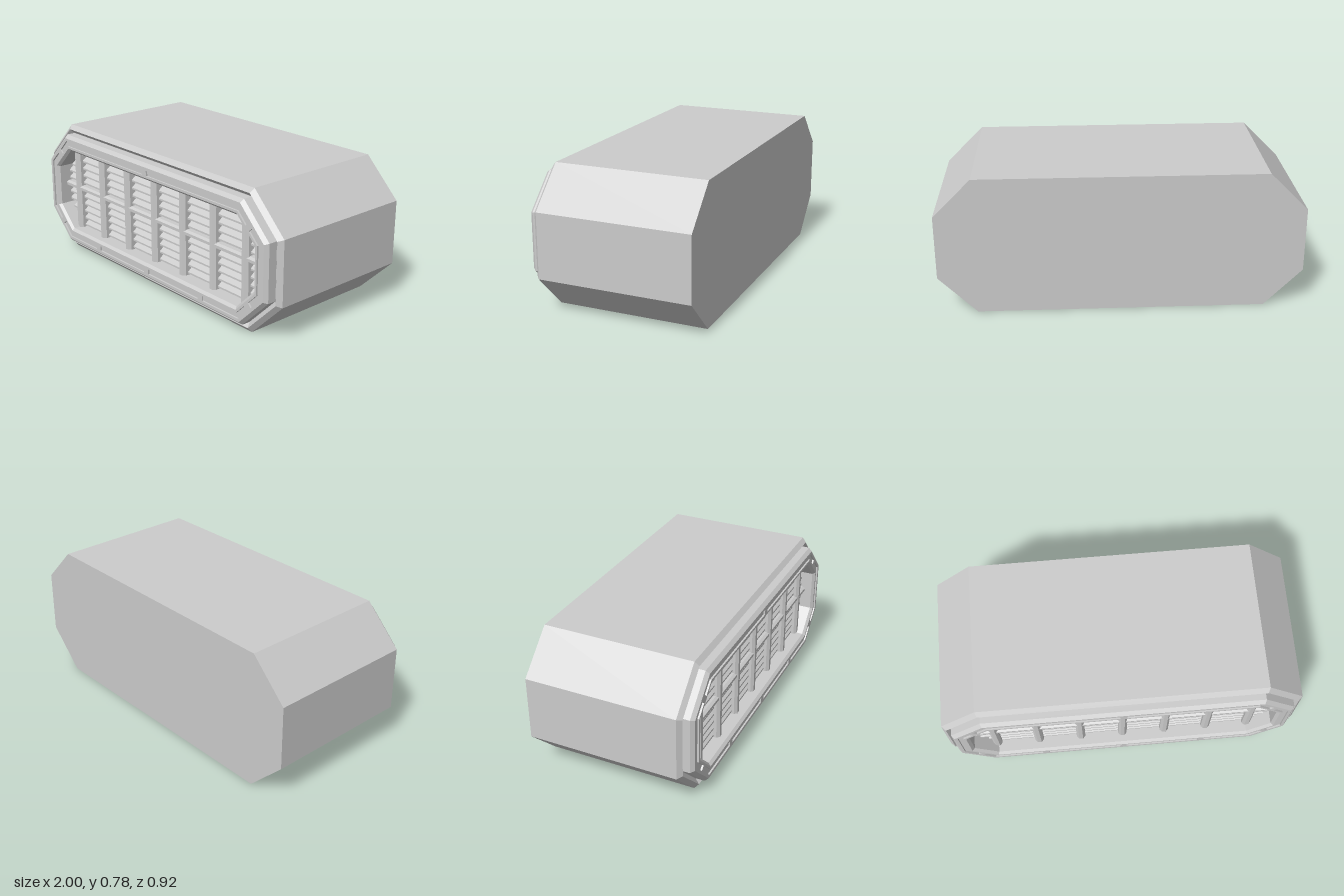
import * as THREE from 'three';

const CY = 0.39; // centre height
const mat = new THREE.MeshStandardMaterial({ color: 0xcccccc, flatShading: true });

// half width, half height and corner cut of the octagon inset by d
const dims = d => ({ w: 1 - d, h: 0.39 - d, c: 0.21 - 0.586 * d });

function octagon(d, z) {
  const { w, h, c } = dims(d);
  return [[w, c - h], [w, h - c], [w - c, h], [c - w, h], [-w, h - c], [-w, c - h], [c - w, -h], [w - c, -h]]
    .map(([x, y]) => [x, y + CY, z]);
}

// skin through octagon rings given as [inset, z], closed at both ends
function loft(rings) {
  const loops = rings.map(([d, z]) => octagon(d, z));
  const pos = [];
  const tri = (...pts) => pts.forEach(p => pos.push(...p));
  for (let i = 0; i < loops.length - 1; i++) {
    for (let j = 0; j < 8; j++) {
      const k = (j + 1) % 8, A = loops[i], B = loops[i + 1];
      tri(A[j], A[k], B[k]);
      tri(A[j], B[k], B[j]);
    }
  }
  const first = loops[0], last = loops[loops.length - 1];
  for (let j = 1; j < 7; j++) {
    tri(first[0], first[j + 1], first[j]);
    tri(last[0], last[j], last[j + 1]);
  }
  const g = new THREE.BufferGeometry();
  g.setAttribute('position', new THREE.Float32BufferAttribute(pos, 3));
  g.computeVertexNormals();
  return g;
}

// prism along x, with a cross-section of [z, y] points
function prism(points, length) {
  const shape = new THREE.Shape(points.map(([z, y]) => new THREE.Vector2(-z, y)));
  const g = new THREE.ExtrudeGeometry(shape, { depth: length, bevelEnabled: false });
  g.translate(0, 0, -length / 2);
  g.rotateY(Math.PI / 2);
  return g;
}

function add(parent, name, geometry, x = 0, y = 0, z = 0) {
  const m = new THREE.Mesh(geometry, mat);
  m.name = name;
  m.position.set(x, y, z);
  parent.add(m);
  return m;
}

export function createModel() {
  const model = new THREE.Group();
  model.name = 'ventUnit';

  // housing, outer lip, raised frame with a shallow channel, and recess
  add(model, 'housing', loft([
    [0, -0.46], [0, 0.39], [0.025, 0.413], [0.048, 0.39], [0.05, 0.39],
    [0.05, 0.44], [0.068, 0.46], [0.085, 0.46], [0.085, 0.45], [0.115, 0.45],
    [0.115, 0.46], [0.128, 0.46], [0.142, 0.445], [0.142, 0.32],
  ]));

  // bridges that divide the frame channel
  const bridges = new THREE.Group();
  bridges.name = 'channelBridges';
  model.add(bridges);
  const { w, h, c } = dims(0.1);
  const bridgeGeo = new THREE.BoxGeometry(0.036, 0.03, 0.012);
  const spots = [[0, h, 0], [0, -h, 0], [0.46, -h, 0], [-0.46, -h, 0]];
  for (const sx of [-1, 1]) for (const sy of [-1, 1]) {
    spots.push([sx * (w - c / 2), sy * (h - c / 2), -sx * sy * Math.PI / 4]);
  }
  for (const [x, y, turn] of spots) {
    add(bridges, 'bridge', bridgeGeo, x, CY + y, 0.454).rotation.z = turn;
  }

  // sloping louvre slats, trimmed to the octagonal opening
  const louvres = new THREE.Group();
  louvres.name = 'louvres';
  model.add(louvres);
  const open = dims(0.142), count = 11, pitch = 2 * open.h / count;
  for (let i = 0; i < count; i++) {
    const y = -open.h + pitch * (i + 0.5);
    const cut = Math.max(0, Math.abs(y) + pitch * 0.4 - (open.h - open.c));
    const slat = [[0.318, 0.018], [0.35, 0.018], [0.378, -0.004], [0.378, -0.014], [0.366, -0.014], [0.318, 0.004]];
    add(louvres, 'slat', prism(slat, 2 * (open.w - cut)), 0, CY + y, 0);
  }

  // grille bars with bevelled front edges
  const grille = new THREE.Group();
  grille.name = 'grille';
  model.add(grille);
  const bar = (half, flat, front) => [
    [0.33, -half], [0.33, half], [front - 0.015, half], [front, flat], [front, -flat], [front - 0.015, -half],
  ];
  add(grille, 'crossBar', prism(bar(0.017, 0.008, 0.402), 2 * open.w), 0, CY + 0.003, 0);
  const uprightGeo = prism(bar(0.025, 0.011, 0.408), 2 * open.h);
  uprightGeo.rotateZ(Math.PI / 2);
  for (let i = -3; i <= 3; i++) add(grille, 'upright', uprightGeo, i * 0.245, CY, 0);

  return model;
}
